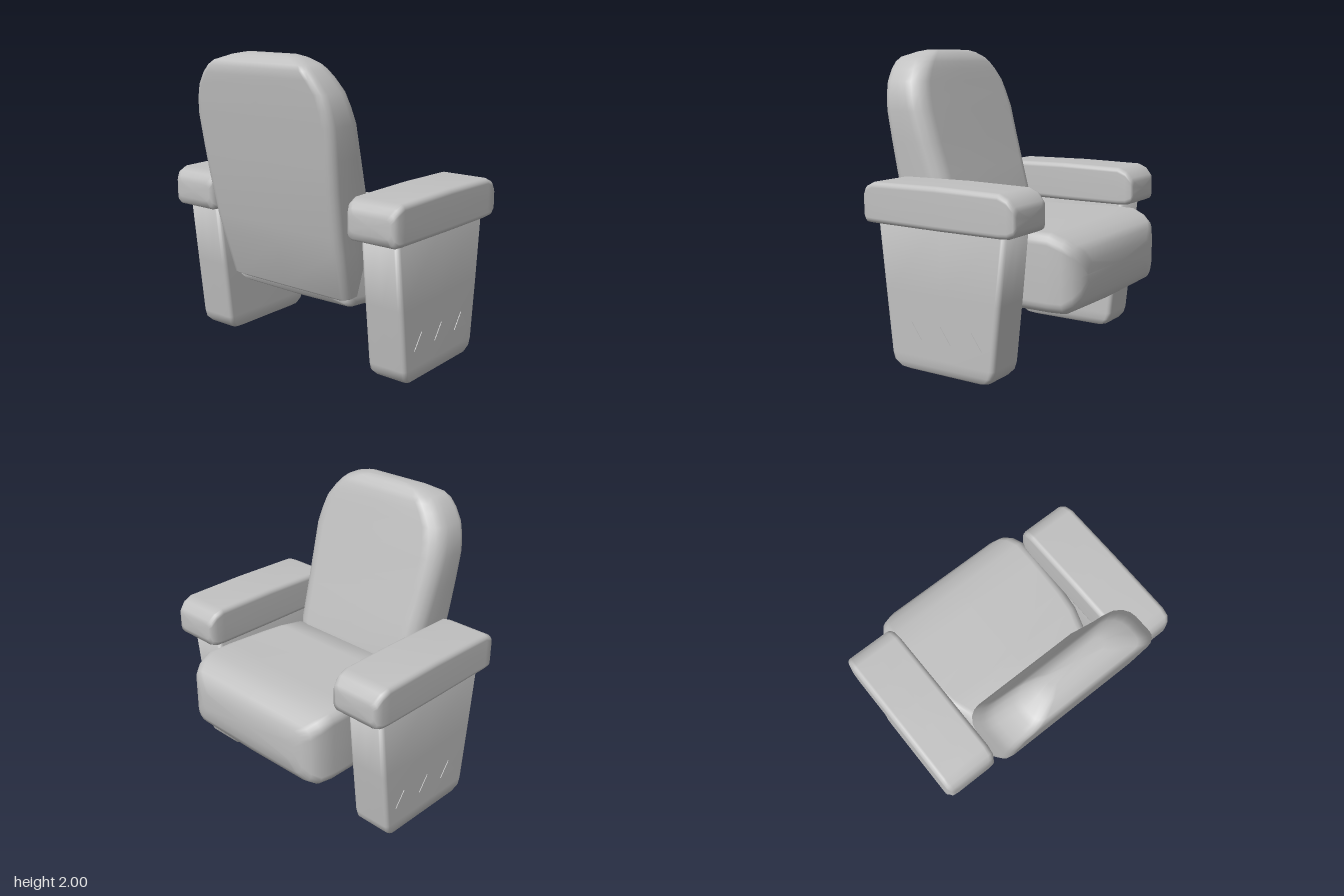
import * as THREE from 'three';

const CORNER_STEPS = 4;

// Rounded rectangle, counter-clockwise; ra rounds the u0 corners, rb the u1 corners.
function section(u0, u1, v0, v1, ra, rb) {
  const limit = Math.min(u1 - u0, v1 - v0) * 0.48;
  const a = Math.min(ra, limit), b = Math.min(rb, limit);
  const corners = [
    [u1 - b, v0 + b, b, -0.5], [u1 - b, v1 - b, b, 0],
    [u0 + a, v1 - a, a, 0.5], [u0 + a, v0 + a, a, 1],
  ];
  const pts = [];
  for (const [cu, cv, r, start] of corners) {
    for (let i = 0; i <= CORNER_STEPS; i++) {
      const t = (start + 0.5 * i / CORNER_STEPS) * Math.PI;
      pts.push([cu + r * Math.cos(t), cv + r * Math.sin(t)]);
    }
  }
  // a midpoint on each straight side
  const out = [];
  pts.forEach((p, i) => {
    out.push(p);
    if (i % (CORNER_STEPS + 1) === CORNER_STEPS) {
      const q = pts[(i + 1) % pts.length];
      out.push([(p[0] + q[0]) / 2, (p[1] + q[1]) / 2]);
    }
  });
  return out;
}

// Skin a list of rows [t, u0, u1, v0, v1, ra, rb]; place(u, v, t) gives x, y, z.
function loft(rows, place) {
  const pos = [], index = [];
  const rings = rows.map(([t, ...s]) => section(...s).map(([u, v]) => [u, v, t]));
  const n = rings[0].length;
  rings.forEach(ring => ring.forEach(p => pos.push(...place(...p))));
  for (let k = 0; k < rings.length - 1; k++) {
    for (let i = 0; i < n; i++) {
      const a = k * n + i, b = k * n + (i + 1) % n;
      index.push(a, b, b + n, a, b + n, a + n);
    }
  }
  // end caps
  [0, rings.length - 1].forEach((k, end) => {
    const [t, u0, u1, v0, v1] = rows[k];
    const c = pos.length / 3;
    pos.push(...place((u0 + u1) / 2, (v0 + v1) / 2, t));
    for (let i = 0; i < n; i++) {
      const a = k * n + i, b = k * n + (i + 1) % n;
      if (end) index.push(c, a, b); else index.push(c, b, a);
    }
  });
  const geo = new THREE.BufferGeometry();
  geo.setAttribute('position', new THREE.Float32BufferAttribute(pos, 3));
  geo.setIndex(index);
  geo.computeVertexNormals();
  return geo;
}

const alongZ = (u, v, t) => [u, v, t];
const alongY = (u, v, t) => [v, t, u];

export function createModel() {
  const group = new THREE.Group();
  const grey = new THREE.MeshStandardMaterial({ color: 0xc0c0c0 });
  grey.name = 'grey upholstery';
  const add = (name, geo, parent = group) => {
    const mesh = new THREE.Mesh(geo, grey);
    mesh.name = name;
    parent.add(mesh);
    return mesh;
  };

  // Reclined backrest: height, front z, rear z, half width
  const backRows = [
    [0.47, 0.26, 0.44, 0.46], [0.5, 0.2, 0.49, 0.5], [0.8, 0.18, 0.575, 0.515],
    [0.92, 0.195, 0.605, 0.525], [1.2, 0.28, 0.66, 0.54], [1.4, 0.34, 0.69, 0.552],
    [1.6, 0.395, 0.72, 0.56], [1.7, 0.425, 0.735, 0.545], [1.79, 0.45, 0.745, 0.52],
    [1.87, 0.473, 0.757, 0.465], [1.92, 0.49, 0.757, 0.42], [1.95, 0.505, 0.745, 0.38],
    [1.985, 0.535, 0.69, 0.28], [2.0, 0.565, 0.64, 0.2],
  ].map(([y, f, r, w]) => [y, f, r, -w, w, 0.12, 0.06]);
  add('backrest', loft(backRows, alongY));

  // Seat cushion: z, half width, bottom, top; the underside sags in the middle
  const seatRows = [
    [-0.76, 0.44, 0.58, 0.73], [-0.745, 0.5, 0.5, 0.8], [-0.715, 0.555, 0.455, 0.84],
    [-0.66, 0.59, 0.42, 0.875], [-0.57, 0.61, 0.42, 0.91], [-0.4, 0.61, 0.42, 0.91],
    [-0.1, 0.6, 0.42, 0.9], [0.05, 0.58, 0.42, 0.9], [0.2, 0.53, 0.42, 0.9],
    [0.38, 0.5, 0.425, 0.75], [0.44, 0.48, 0.46, 0.6],
  ].map(([z, w, b, t]) => [z, -w, w, b, t, 0.07, 0.07]);
  const sag = (u, v, t) => [u, v < 0.5 ? v - 0.015 * (1 - (u / 0.62) ** 2) : v, t];
  add('seatCushion', loft(seatRows, sag));

  // Raised triangle on the outer side panels
  const triangle = new THREE.Shape([
    new THREE.Vector2(-0.075, 0.215), new THREE.Vector2(0.075, 0.215), new THREE.Vector2(0, 0.32),
  ]);
  const triangleGeo = new THREE.ExtrudeGeometry(triangle, { depth: 0.008, bevelEnabled: false });
  triangleGeo.rotateY(Math.PI / 2);

  // Tapered side panels: height, front z, rear z, inner x, outer x
  const panelRows = [
    [0, -0.29, 0.3, 0.64, 0.86], [0.012, -0.325, 0.355, 0.622, 0.875],
    [0.05, -0.36, 0.395, 0.61, 0.888], [0.1, -0.375, 0.408, 0.608, 0.89],
    [0.5, -0.417, 0.452, 0.608, 0.89], [0.95, -0.462, 0.502, 0.612, 0.888],
  ].map(r => [...r, 0.03, 0.03]);

  // Padded armrests: z, inner x, outer x, bottom, top
  const armRows = [
    [-0.55, 0.6, 0.9, 0.97, 1.08], [-0.54, 0.575, 0.925, 0.935, 1.11],
    [-0.5, 0.565, 0.935, 0.918, 1.155], [-0.44, 0.562, 0.938, 0.915, 1.18],
    [0, 0.562, 0.938, 0.915, 1.187], [0.5, 0.562, 0.938, 0.92, 1.18],
    [0.555, 0.567, 0.935, 0.922, 1.155], [0.58, 0.58, 0.92, 0.94, 1.125],
    [0.59, 0.6, 0.9, 0.98, 1.09],
  ].map(r => [...r, 0.035, 0.035]);

  // Mirror a row across x = 0
  const mirrorX = ([t, a, b, c, d, ...r], xs) => xs === 'u'
    ? [t, -b, -a, c, d, ...r] : [t, a, b, -d, -c, ...r];

  for (const side of [1, -1]) {
    const name = side > 0 ? 'left' : 'right';
    const panels = side > 0 ? panelRows : panelRows.map(r => mirrorX(r, 'v'));
    const arms = side > 0 ? armRows : armRows.map(r => mirrorX(r, 'u'));
    add(name + 'SidePanel', loft(panels, alongY));
    add(name + 'Armrest', loft(arms, alongZ));
    for (const z of [0.235, 0.012, -0.22]) {
      const mark = add(name + 'PanelTriangle', triangleGeo);
      mark.position.set(side * 0.887, 0, z);
      if (side < 0) mark.rotation.y = Math.PI;
    }
  }
  return group;
}
